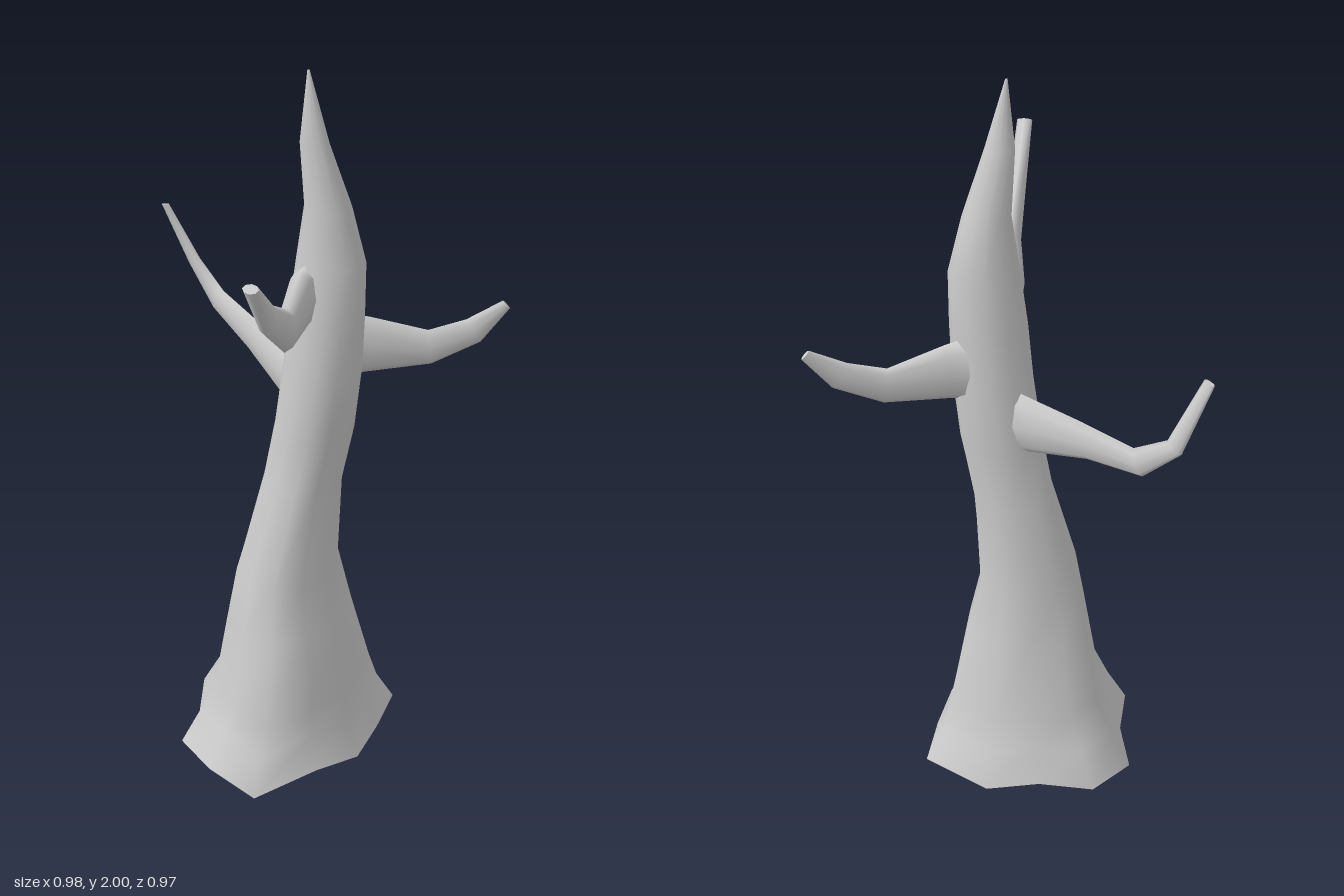
import * as THREE from 'three';

const bark = new THREE.MeshStandardMaterial({ color: 0xcccccc });

// Skins a list of equal-sized rings; flat fan caps close the ends
function loft(name, rings, capStart, capEnd) {
  const n = rings[0].length, pos = [], index = [];
  const add = (p) => pos.push(p.x, p.y, p.z) / 3 - 1;
  rings.forEach((ring) => ring.forEach(add));
  for (let r = 0; r < rings.length - 1; r++) {
    for (let i = 0; i < n; i++) {
      const j = (i + 1) % n;
      const a = r * n + i, b = r * n + j, c = a + n, d = b + n;
      index.push(a, c, b, b, c, d);
    }
  }
  const cap = (ring, flip) => {
    const mid = new THREE.Vector3();
    ring.forEach((p) => mid.addScaledVector(p, 1 / n));
    const centre = add(mid);
    const ids = ring.map(add);
    for (let i = 0; i < n; i++) {
      const a = ids[i], b = ids[(i + 1) % n];
      index.push(centre, ...(flip ? [a, b] : [b, a]));
    }
  };
  if (capStart) cap(rings[0], true);
  if (capEnd) cap(rings[rings.length - 1], false);
  const geometry = new THREE.BufferGeometry();
  geometry.setAttribute('position', new THREE.Float32BufferAttribute(pos, 3));
  geometry.setIndex(index);
  geometry.computeVertexNormals();
  const mesh = new THREE.Mesh(geometry, bark);
  mesh.name = name;
  return mesh;
}

// Root flare outline (x, z), which fades to an ellipse up the trunk
const flare = [
  [0.19, -0.06], [0.155, 0.08], [0.05, 0.155], [-0.1, 0.295], [-0.25, 0.19], [-0.355, 0.08],
  [-0.335, -0.06], [-0.355, -0.21], [-0.25, -0.31], [-0.1, -0.295], [0.045, -0.32], [0.215, -0.21],
];

// Trunk levels: y, min x, max x, min z, max z, share of flare outline
const levels = [
  [0.012, -0.355, 0.215, -0.32, 0.3, 1],
  [0.11, -0.3, 0.168, -0.28, 0.245, 1],
  [0.2, -0.262, 0.15, -0.248, 0.215, 0.9],
  [0.42, -0.228, 0.105, -0.195, 0.16, 0.75],
  [0.58, -0.203, 0.068, -0.188, 0.115, 0.6],
  [0.85, -0.133, 0.083, -0.157, 0.057, 0.35],
  [1.02, -0.1, 0.115, -0.155, 0.056, 0.2],
  [1.2, -0.075, 0.133, -0.143, 0.05, 0.1],
  [1.35, -0.06, 0.138, -0.13, 0.042, 0],
  [1.5, -0.04, 0.139, -0.12, 0.026, 0],
  [1.65, -0.018, 0.103, -0.095, 0.015, 0],
  [1.82, -0.026, 0.048, -0.052, 0.004, 0],
  [2, -0.008, -0.002, -0.033, -0.027, 0],
];

function makeTrunk() {
  const rings = levels.map(([y, x0, x1, z0, z1, share], level) =>
    flare.map(([fx, fz], i) => {
      const angle = (i / flare.length) * Math.PI * 2;
      const u = THREE.MathUtils.lerp(Math.cos(angle), (fx + 0.07) / 0.285, share);
      const v = THREE.MathUtils.lerp(Math.sin(angle), (fz + 0.0125) / 0.3075, share);
      const x = (x0 + x1) / 2 + (u * (x1 - x0)) / 2;
      const z = (z0 + z1) / 2 + (v * (z1 - z0)) / 2;
      // The foot is cut at a slight slope
      return new THREE.Vector3(x, level === 0 ? y + 0.03 * x : y, z);
    }));
  return loft('trunk', rings, true, true);
}

// Branch stations: x, y, z, half height, half width
function makeBranch(name, stations, sides = 8) {
  const points = stations.map(([x, y, z]) => new THREE.Vector3(x, y, z));
  const last = points.length - 1;
  const side = points[last].clone().sub(points[0]).cross(new THREE.Vector3(0, 1, 0)).normalize();
  const rings = stations.map(([, , , high, wide], k) => {
    const tangent = points[Math.min(k + 1, last)].clone().sub(points[Math.max(k - 1, 0)]);
    const up = side.clone().cross(tangent).normalize();
    return Array.from({ length: sides }, (_, i) => {
      const a = (i / sides) * Math.PI * 2;
      return points[k].clone()
        .addScaledVector(side, Math.cos(a) * wide)
        .addScaledVector(up, Math.sin(a) * high);
    });
  });
  return loft(name, rings, false, true);
}

export function createModel() {
  const tree = new THREE.Group();
  tree.name = 'bareTree';
  tree.add(
    makeTrunk(),
    makeBranch('leftBranch', [
      [0.06, 1.245, -0.08, 0.095, 0.045], [0.14, 1.24, -0.1, 0.08, 0.032],
      [0.295, 1.225, -0.143, 0.05, 0.019], [0.405, 1.27, -0.168, 0.039, 0.014],
      [0.485, 1.342, -0.19, 0.015, 0.007],
    ]),
    makeBranch('rearBranch', [
      [-0.01, 1.09, -0.08, 0.095, 0.04], [-0.08, 1.112, -0.15, 0.078, 0.03],
      [-0.2, 1.15, -0.27, 0.052, 0.02], [-0.325, 1.18, -0.405, 0.038, 0.016],
      [-0.405, 1.265, -0.465, 0.024, 0.012], [-0.478, 1.436, -0.45, 0.015, 0.006],
    ]),
    makeBranch('frontBranch', [
      [0, 1.42, -0.04, 0.085, 0.045], [-0.015, 1.42, 0.04, 0.08, 0.036],
      [-0.013, 1.437, 0.235, 0.053, 0.028], [-0.03, 1.53, 0.365, 0.038, 0.023],
      [-0.048, 1.663, 0.475, 0.013, 0.02],
    ]),
  );
  return tree;
}
